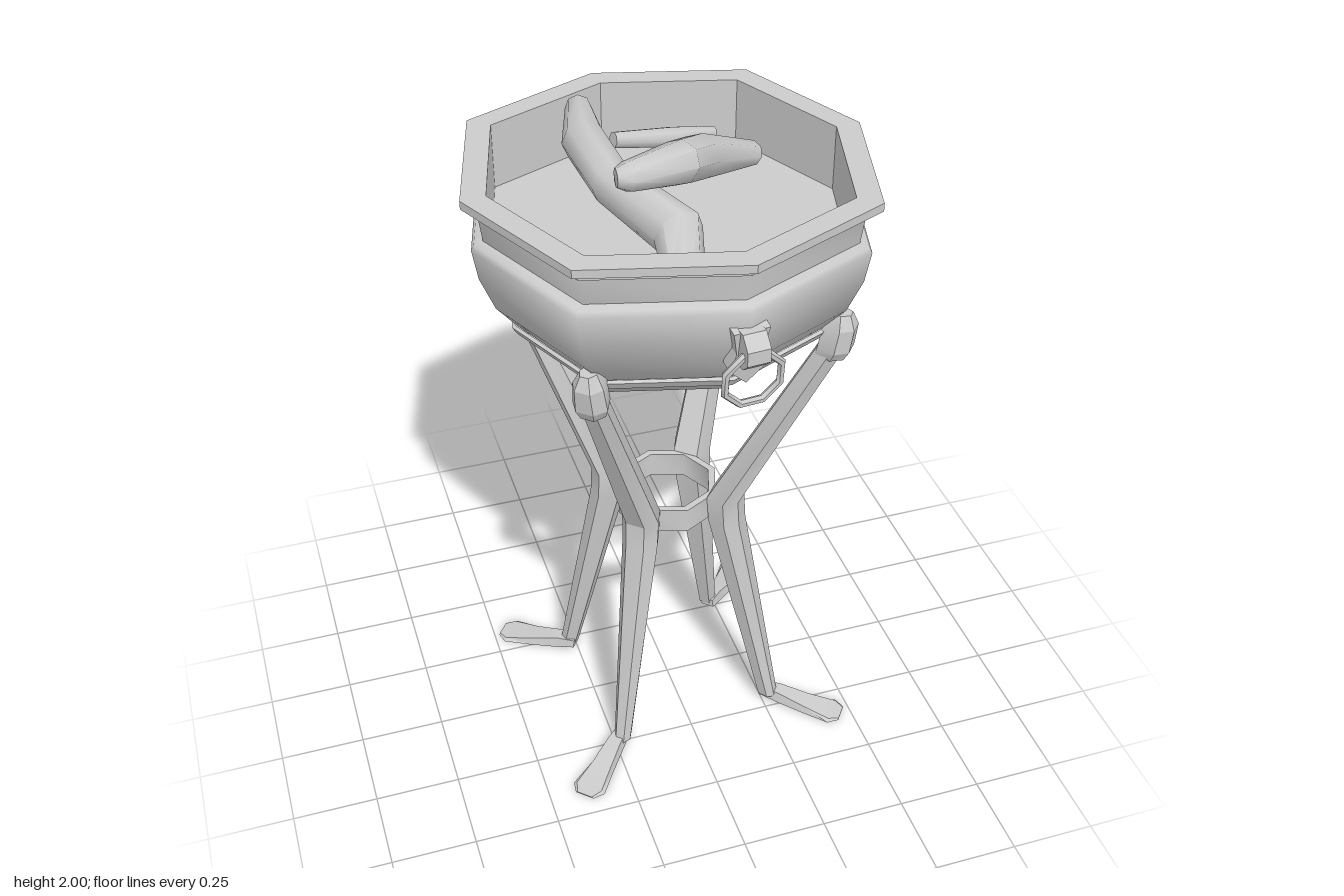
import * as THREE from 'three';
import { toCreasedNormals } from 'three/addons/utils/BufferGeometryUtils.js';

const DEG = Math.PI / 180;
const TURN = 4.7 * DEG; // the octagonal bowl is turned slightly

const grey = () => new THREE.MeshStandardMaterial({ color: 0xcccccc });

function addMesh(parent, name, geometry, crease = 0.35) {
  const mesh = new THREE.Mesh(toCreasedNormals(geometry, crease), grey());
  mesh.name = name;
  parent.add(mesh);
  return mesh;
}

// Octagonal turned shape from [radius, height] pairs; the corners above
// the legs reach out a little further than the other four
function octagon(profile, flare = 0.045) {
  const g = new THREE.LatheGeometry(profile.map(([r, y]) => new THREE.Vector2(r, y)), 8, TURN);
  const pos = g.attributes.position;
  for (let i = 0; i < pos.count; i++) {
    const x = pos.getX(i), z = pos.getZ(i);
    const s = 1 + flare * Math.sin(2 * (Math.atan2(x, z) - TURN)) ** 2;
    pos.setXYZ(i, x * s, pos.getY(i), z * s);
  }
  return g;
}

// Skin over rings of points, with closed ends
function loft(rings) {
  const n = rings[0].length;
  const last = (rings.length - 1) * n;
  const index = [];
  for (let i = 0; i < rings.length - 1; i++) {
    for (let j = 0; j < n; j++) {
      const a = i * n + j, b = i * n + (j + 1) % n;
      index.push(a, b, b + n, a, b + n, a + n);
    }
  }
  for (let j = 1; j < n - 1; j++) {
    index.push(0, j + 1, j, last, last + j, last + j + 1);
  }
  const g = new THREE.BufferGeometry();
  g.setAttribute('position', new THREE.Float32BufferAttribute(rings.flat(2), 3));
  g.setIndex(index);
  return g;
}

// Leg cross-section at radius r, chamfered on the outer and inner sides
function legRing([r, y, w, d]) {
  return [[0.5, 1], [1, 0.2], [0.65, -1], [-0.65, -1], [-1, 0.2], [-0.5, 1]]
    .map(([t, n]) => [t * w, y, r + n * d]);
}

// Rounded branch through [x, y, z, radius] points
function branch(points, sides = 8) {
  const p = points.map(([x, y, z]) => new THREE.Vector3(x, y, z));
  const up = new THREE.Vector3(0, 1, 0);
  return loft(points.map((pt, i) => {
    const dir = p[Math.min(i + 1, p.length - 1)].clone().sub(p[Math.max(i - 1, 0)]).normalize();
    const side = new THREE.Vector3().crossVectors(up, dir).normalize();
    const over = new THREE.Vector3().crossVectors(dir, side);
    return Array.from({ length: sides }, (_, k) => {
      const a = (k / sides) * Math.PI * 2;
      return p[i].clone().addScaledVector(side, Math.cos(a) * pt[3])
        .addScaledVector(over, Math.sin(a) * pt[3]).toArray();
    });
  }));
}

function makeLeg(angle, footTwist) {
  const leg = new THREE.Group();
  leg.name = 'leg';
  leg.rotation.y = angle;
  addMesh(leg, 'legShaft', loft([
    [0.345, 0.03, 0.026, 0.026], [0.192, 0.715, 0.056, 0.047],
    [0.187, 0.8, 0.058, 0.047], [0.475, 1.4, 0.038, 0.036],
  ].map(legRing)));
  // claw that grips the bowl
  addMesh(leg, 'legClaw', loft([
    [0.475, 1.375, 0.038, 0.04], [0.487, 1.405, 0.05, 0.044],
    [0.497, 1.475, 0.044, 0.043], [0.495, 1.515, 0.024, 0.03],
  ].map(legRing)));
  // flared foot, sloping down to a thin rounded toe
  const foot = addMesh(leg, 'foot', loft([
    [0.32, 0.022, 0.02, 0.045], [0.38, 0.027, 0.008, 0.044],
    [0.47, 0.038, 0, 0.022], [0.555, 0.052, 0, 0.008], [0.585, 0.03, 0, 0.004],
  ].map(([z, w, y0, y1]) => [[-w, y0, z], [w, y0, z], [w * 0.8, y1, z], [-w * 0.8, y1, z]])));
  foot.rotation.y = footTwist;
  return leg;
}

function makeHandle(angle) {
  const handle = new THREE.Group();
  handle.name = 'handle';
  handle.rotation.y = angle;
  // shield-shaped plate leaning along the belly
  const shield = new THREE.Shape([
    [-0.05, 0.09], [-0.036, 0.02], [-0.05, -0.035], [0, -0.085],
    [0.05, -0.035], [0.036, 0.02], [0.05, 0.09],
  ].map(([x, y]) => new THREE.Vector2(x, y)));
  const plate = addMesh(handle, 'handlePlate',
    new THREE.ExtrudeGeometry(shield, { depth: 0.042, bevelEnabled: false }));
  plate.position.set(0, 1.59, 0.492);
  plate.rotation.x = 0.16;
  // hook that carries the ring
  const hookShape = new THREE.Shape([
    [0.52, 1.675], [0.56, 1.675], [0.592, 1.64], [0.592, 1.6],
    [0.565, 1.575], [0.52, 1.575],
  ].map(([x, y]) => new THREE.Vector2(x, y)));
  const hook = addMesh(handle, 'handleHook',
    new THREE.ExtrudeGeometry(hookShape, { depth: 0.064, bevelEnabled: false }));
  hook.rotation.y = -Math.PI / 2;
  hook.position.x = 0.032;
  // hanging octagonal ring
  const ring = addMesh(handle, 'handleRing', new THREE.TorusGeometry(0.082, 0.011, 6, 8), 0.9);
  ring.geometry.rotateZ(Math.PI / 8);
  ring.position.set(0, 1.54, 0.56);
  ring.rotation.x = 0.09;
  return handle;
}

export function createModel() {
  const model = new THREE.Group();
  model.name = 'brazier';

  // bowl: lower cone, belt, belly with neck, and stepped rim
  addMesh(model, 'bowlBottom', octagon([[0, 1.285], [0.16, 1.285], [0.39, 1.395], [0.42, 1.43]]));
  addMesh(model, 'bowlBelt', octagon([[0.415, 1.43], [0.435, 1.435], [0.45, 1.46], [0.44, 1.465]]));
  addMesh(model, 'bowlBelly', octagon([
    [0.435, 1.462], [0.49, 1.53], [0.53, 1.63], [0.545, 1.72],
    [0.537, 1.735], [0.512, 1.742], [0.522, 1.822],
  ]), 1.2);
  addMesh(model, 'bowlCollar', octagon([
    [0.515, 1.822], [0.533, 1.822], [0.533, 1.842], [0.52, 1.844],
  ]));
  addMesh(model, 'bowlRim', octagon([
    [0.52, 1.844], [0.565, 1.846], [0.565, 1.87], [0.495, 1.87], [0.495, 1.68],
  ]));
  addMesh(model, 'bowlFloor', octagon([[0.495, 1.68], [0, 1.69]]), 0.1);

  // four legs, joined at the knees by a ring, and two handles
  for (const half of [0, Math.PI]) {
    model.add(makeLeg(51.2 * DEG + half, 1.8 * DEG));
    model.add(makeLeg(138.8 * DEG + half, -1.8 * DEG));
    model.add(makeHandle(TURN + half));
  }
  addMesh(model, 'kneeRing', octagon([
    [0.133, 0.72], [0.155, 0.72], [0.155, 0.798], [0.133, 0.798], [0.133, 0.72],
  ], 0), 0.9);

  // firewood
  addMesh(model, 'longLog', branch([
    [-0.128, 1.845, -0.415, 0.037], [-0.178, 1.868, -0.17, 0.061], [-0.168, 1.862, 0.06, 0.059],
    [-0.066, 1.83, 0.297, 0.07], [-0.095, 1.775, 0.445, 0.051],
  ]), 0.9);
  addMesh(model, 'crossedLog', branch([
    [-0.2, 1.96, 0.21, 0.026], [-0.172, 1.96, 0.212, 0.04], [-0.015, 1.94, 0.145, 0.06],
    [0.1, 1.84, -0.045, 0.064], [0.305, 1.75, -0.183, 0.036],
  ]), 0.9);
  addMesh(model, 'smallLog', branch([
    [-0.08, 1.826, -0.232, 0.023], [0.1, 1.792, -0.262, 0.03], [0.238, 1.757, -0.322, 0.018],
  ]), 0.9);

  return model;
}
